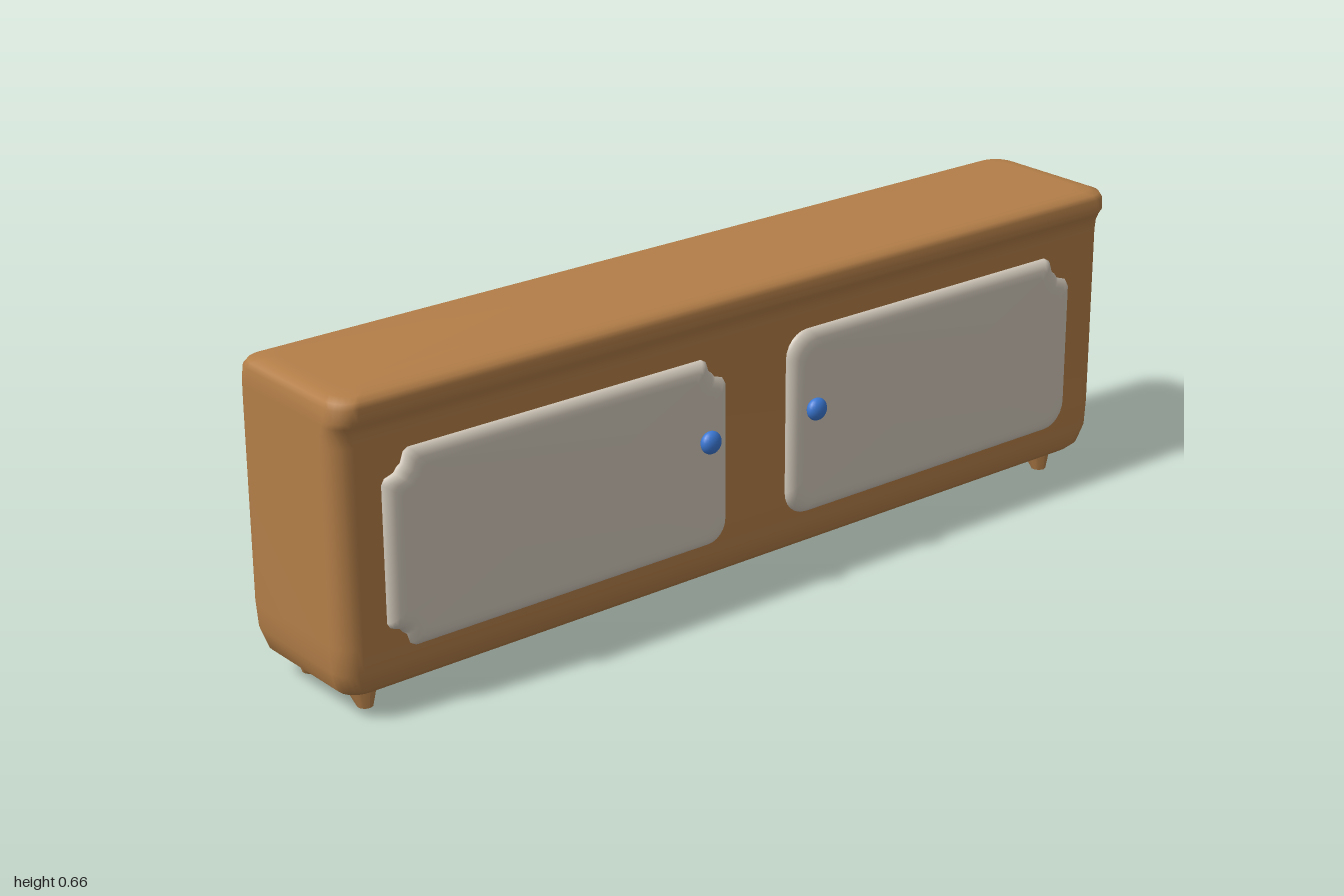
import * as THREE from 'three';

const wood = new THREE.MeshStandardMaterial({ color: 0xb37e48 });
wood.name = 'warm wood';
const cream = new THREE.MeshStandardMaterial({ color: 0xcfc6b8 });
cream.name = 'cream panel';
const blue = new THREE.MeshStandardMaterial({ color: 0x3b78d4 });
blue.name = 'blue knob';

// Closed solid from one outline (-1..1) fitted to sections [level, x0, x1, y0, y1].
function loft(outline, sections) {
  const n = outline.length, pos = [], index = [];
  for (const [z, x0, x1, y0, y1] of sections) {
    for (const p of outline) {
      pos.push((x0 + x1 + p.x * (x1 - x0)) / 2, (y0 + y1 + p.y * (y1 - y0)) / 2, z);
    }
  }
  const last = sections.length - 1;
  for (let s = 0; s < last; s++) {
    for (let i = 0; i < n; i++) {
      const a = s * n + i, b = s * n + (i + 1) % n;
      index.push(a, b, a + n, b, b + n, a + n);
    }
  }
  // End caps
  for (const s of [0, last]) {
    const [z, x0, x1, y0, y1] = sections[s];
    const c = pos.length / 3;
    pos.push((x0 + x1) / 2, (y0 + y1) / 2, z);
    for (let i = 0; i < n; i++) {
      const a = s * n + i, b = s * n + (i + 1) % n;
      if (s) index.push(c, a, b); else index.push(c, b, a);
    }
  }
  const geo = new THREE.BufferGeometry();
  geo.setAttribute('position', new THREE.Float32BufferAttribute(pos, 3));
  geo.setIndex(index);
  geo.computeVertexNormals();
  return geo;
}

// Rounded rectangle scaled to -1..1; notched corners (order: BL, BR, TR, TL) get a small step.
function outlineOf(w, h, r, notches = []) {
  const pts = [];
  [[-1, -1], [1, -1], [1, 1], [-1, 1]].forEach(([sx, sy], k) => {
    const arc = [];
    const steps = 6;
    for (let i = 0; i <= steps; i++) {
      const t = (i / steps) * Math.PI / 2;
      arc.push([r - r * Math.cos(t), r - r * Math.sin(t)]);
    }
    const notch = [[0, 1.35 * r], [0.15 * r, 1.1 * r], [0.6 * r, 0.95 * r], [0.75 * r, 0.75 * r],
      [0.95 * r, 0.6 * r], [1.1 * r, 0.15 * r], [1.35 * r, 0]];
    const corner = notches[k] ? notch : arc;
    if (sx * sy < 0) corner.reverse();
    for (const [dx, dy] of corner) {
      pts.push(new THREE.Vector2(sx * (1 - 2 * dx / w), sy * (1 - 2 * dy / h)));
    }
  });
  return pts;
}

function add(group, name, geometry, material) {
  const mesh = new THREE.Mesh(geometry, material);
  mesh.name = name;
  group.add(mesh);
  return mesh;
}

export function createModel() {
  const group = new THREE.Group();
  group.name = 'sideboard';

  // Cabinet with rounded base and overhanging top lip: [y, side inset, front z, back z]
  const profile = [
    [0.036, 0.09, 0.07, -0.11], [0.04, 0.06, 0.09, -0.13], [0.05, 0.03, 0.115, -0.155],
    [0.065, 0.014, 0.13, -0.172], [0.105, 0.003, 0.141, -0.187], [0.16, 0, 0.142, -0.19],
    [0.56, 0, 0.142, -0.19], [0.585, 0, 0.145, -0.19], [0.602, 0, 0.153, -0.19],
    [0.615, 0, 0.162, -0.19], [0.64, 0.002, 0.162, -0.188], [0.651, 0.008, 0.157, -0.18],
    [0.658, 0.025, 0.143, -0.163], [0.662, 0.055, 0.115, -0.135],
  ];
  const cabinet = loft(outlineOf(2, 0.34, 0.045),
    profile.map(([y, d, front, back]) => [y, -1 + d, 0.993 - d, -front, -back]));
  cabinet.rotateX(-Math.PI / 2);
  add(group, 'cabinet', cabinet, wood);

  // Pillowed doors with stepped corners
  const doors = [
    ['rightDoor', -0.9, -0.085, [true, false, true, true]],
    ['leftDoor', 0.077, 0.885, [false, false, true, false]],
  ];
  for (const [name, x0, x1, notches] of doors) {
    const y0 = 0.133, y1 = 0.533;
    const layers = [[0.13, 0], [0.144, 0], [0.15, 0.003], [0.156, 0.01], [0.159, 0.02], [0.16, 0.035]];
    const geo = loft(outlineOf(x1 - x0, y1 - y0, name === 'rightDoor' ? 0.045 : 0.055, notches),
      layers.map(([z, d]) => [z, x0 + d, x1 - d, y0 + d, y1 - d]));
    add(group, name, geo, cream);
  }

  // Knobs
  for (const [name, x] of [['rightKnob', -0.147], ['leftKnob', 0.132]]) {
    const knob = add(group, name, new THREE.SphereGeometry(0.024, 20, 14), blue);
    knob.scale.z = 0.66;
    knob.position.set(x, 0.369, 0.176);
  }

  // Stubby feet, wide at the top and upright on the outer side
  const feet = [
    ['frontRightFoot', -0.91, 0.07, 1], ['frontLeftFoot', 0.898, 0.07, 1],
    ['backRightFoot', -0.91, -0.12, -1],
  ];
  for (const [name, x, z, side] of feet) {
    const geo = new THREE.CylinderGeometry(0.04, 0.016, 0.06, 10);
    const p = geo.attributes.position;
    for (let i = 0; i < p.count; i++) {
      if (p.getY(i) > 0) p.setZ(i, p.getZ(i) - side * 0.018);
    }
    geo.computeVertexNormals();
    add(group, name, geo, wood).position.set(x, 0.03, z);
  }

  return group;
}
